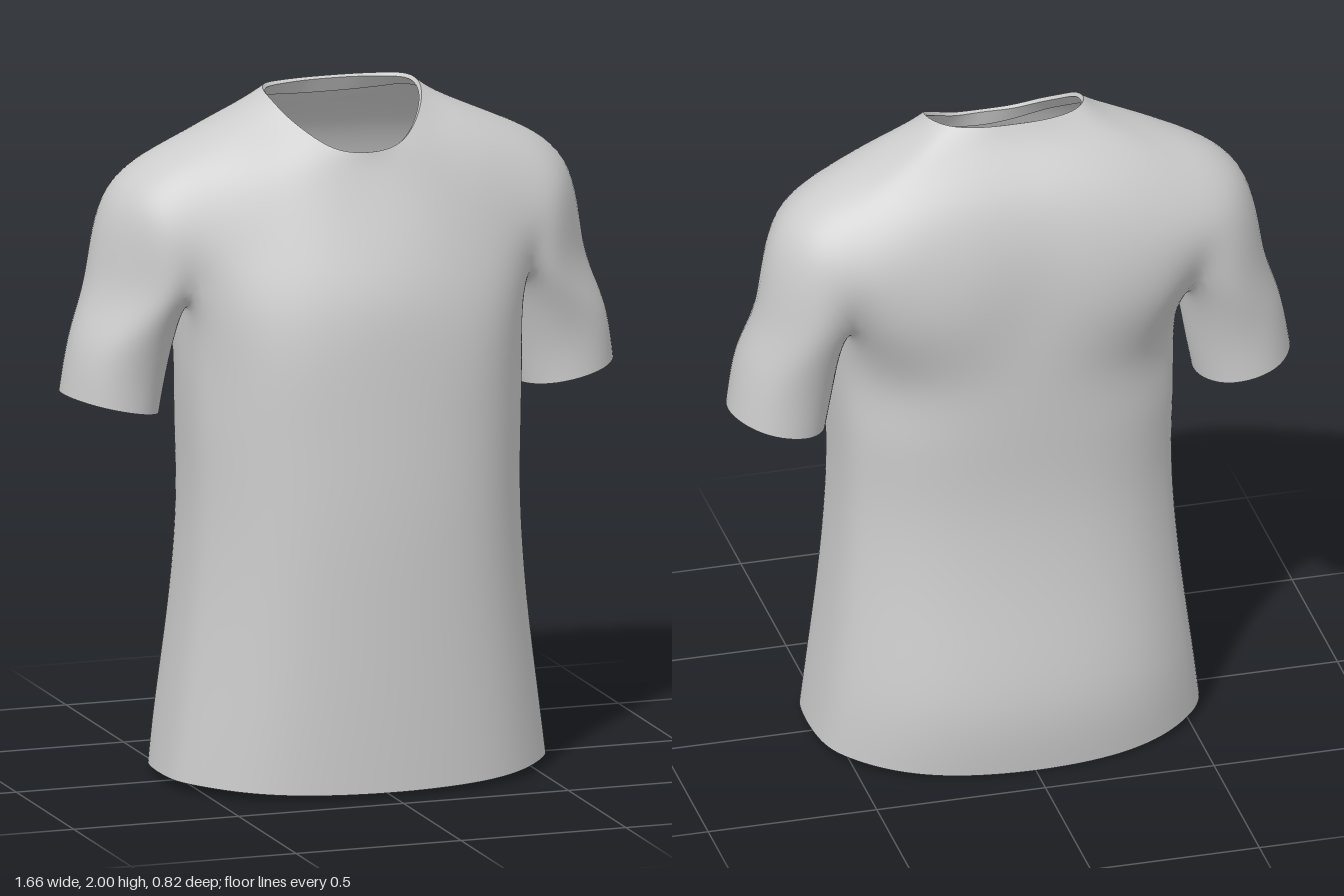
import * as THREE from 'three';
import { toCreasedNormals } from 'three/addons/utils/BufferGeometryUtils.js';

const V = (x, y, z) => new THREE.Vector3(x, y, z);
const rad = THREE.MathUtils.degToRad;
const material = new THREE.MeshStandardMaterial({ color: 0xcccccc, side: THREE.DoubleSide });

// Junction ring at armpit height: front half, armpit seam, sleeve outside, back half
const front = [V(0, 1.42, 0.372), V(0.2, 1.42, 0.345), V(0.37, 1.43, 0.27), V(0.515, 1.47, 0.14)];
const seam = [V(0.5, 1.4, 0.03), V(0.5, 1.38, -0.14)];
const arm = [V(0.62, 1.47, 0.115), V(0.75, 1.48, -0.09), V(0.65, 1.47, -0.275)];
const back = [V(0.51, 1.47, -0.275), V(0.39, 1.45, -0.335), V(0.2, 1.45, -0.367), V(0, 1.45, -0.358)];

// Shoulder rows from the armpit up to the neckline, front centre to back centre
const shoulderRows = [
  [[0, 1.56, 0.325], [0.18, 1.57, 0.3], [0.34, 1.59, 0.235], [0.49, 1.63, 0.16], [0.62, 1.69, 0.08], [0.685, 1.725, -0.085],
    [0.63, 1.7, -0.235], [0.51, 1.66, -0.31], [0.37, 1.65, -0.345], [0.18, 1.65, -0.358], [0, 1.65, -0.352]],
  [[0, 1.7, 0.26], [0.15, 1.71, 0.245], [0.29, 1.735, 0.195], [0.4, 1.79, 0.125], [0.47, 1.845, 0.03], [0.49, 1.862, -0.08],
    [0.47, 1.85, -0.17], [0.42, 1.83, -0.235], [0.3, 1.82, -0.282], [0.15, 1.82, -0.298], [0, 1.82, -0.298]],
  [[0, 1.8, 0.215], [0.11, 1.81, 0.205], [0.2, 1.84, 0.165], [0.265, 1.89, 0.09], [0.3, 1.935, 0.01], [0.31, 1.945, -0.06],
    [0.305, 1.942, -0.12], [0.28, 1.935, -0.17], [0.21, 1.93, -0.197], [0.11, 1.93, -0.208], [0, 1.93, -0.21]],
  [[0, 1.85, 0.2], [0.085, 1.86, 0.185], [0.15, 1.895, 0.14], [0.2, 1.94, 0.07], [0.225, 1.975, 0.01], [0.232, 1.993, -0.045],
    [0.222, 2, -0.09], [0.195, 2, -0.125], [0.15, 1.998, -0.148], [0.08, 1.997, -0.163], [0, 1.997, -0.166]],
].map((row) => row.map((p) => V(...p)));

// Half of a torso section: rounded ellipse, deeper in front or behind
function torsoRow([y, w, zf, zb]) {
  return [0, 22, 44, 66, 82, 104, 122, 140, 160, 180].map((deg) => {
    const s = Math.sin(rad(deg)), c = Math.cos(rad(deg));
    const x = deg === 180 ? 0 : w * Math.pow(s, 0.87);
    const hem = y < 0.1 ? 0.022 * s * s + 0.006 * c : 0;
    return V(x, y + hem, (c > 0 ? zf : zb) * Math.pow(Math.abs(c), 0.87));
  });
}
const torsoRows = [
  [0.008, 0.575, 0.41, -0.395], [0.22, 0.55, 0.412, -0.41], [0.5, 0.516, 0.412, -0.368],
  [0.8, 0.496, 0.41, -0.336], [1.05, 0.5, 0.4, -0.342], [1.25, 0.503, 0.39, -0.352],
].map(torsoRow);

// Full sleeve section, tilted so the outside sits higher
function sleeveRow([x, y, z, rx, rz, tilt]) {
  return [115, 60, 0, -60, -115, -160, 160].map((deg) => {
    const c = Math.cos(rad(deg));
    return V(x + rx * c, y + tilt * c, z + rz * Math.sin(rad(deg)));
  });
}
const sleeveRows = [
  [0.69, 1.11, -0.087, 0.142, 0.167, 0.032], [0.66, 1.27, -0.085, 0.138, 0.178, 0.045],
].map(sleeveRow);

// Control cage: stitched grids, mirrored and welded
function buildCage() {
  const verts = [], quads = [], ids = new Map();
  const id = (p, side) => {
    const q = V(p.x * side, p.y, p.z);
    const key = [q.x, q.y, q.z].map((n) => Math.round(n * 1e4)).join();
    if (!ids.has(key)) ids.set(key, verts.push(q) - 1);
    return ids.get(key);
  };
  const grid = (rows, closed) => {
    const n = rows[0].length;
    for (const side of [1, -1])
      for (let r = 0; r + 1 < rows.length; r++)
        for (let c = 0; c < (closed ? n : n - 1); c++) {
          const d = (c + 1) % n;
          const q = [rows[r][c], rows[r][d], rows[r + 1][d], rows[r + 1][c]].map((p) => id(p, side));
          quads.push(side > 0 ? q : q.reverse());
        }
  };
  grid([...torsoRows, [...front, ...seam, ...back]], false);
  grid([[...front, ...arm, ...back], ...shoulderRows], false);
  grid([...sleeveRows, [front[3], ...arm, back[0], seam[1], seam[0]]], true);
  return { verts, quads };
}

// One step of quad subdivision smoothing; old vertices keep their indices
function subdivide({ verts, quads }) {
  const n = verts.length, out = verts.map(() => V(0, 0, 0)), edges = new Map(), result = [];
  const around = verts.map(() => ({ faces: [], mids: [], rim: [] }));
  const faceIds = quads.map((q) => {
    const p = V(0, 0, 0);
    q.forEach((i) => p.addScaledVector(verts[i], 0.25));
    q.forEach((i) => around[i].faces.push(p));
    return out.push(p) - 1;
  });
  const edgeKey = (a, b) => Math.min(a, b) * n + Math.max(a, b);
  quads.forEach((q, f) => q.forEach((a, k) => {
    const b = q[(k + 1) % 4], key = edgeKey(a, b);
    if (!edges.has(key)) edges.set(key, { a, b, faces: [] });
    edges.get(key).faces.push(out[faceIds[f]]);
  }));
  for (const e of edges.values()) {
    const mid = verts[e.a].clone().add(verts[e.b]).multiplyScalar(0.5);
    for (const i of [e.a, e.b]) {
      around[i].mids.push(mid);
      if (e.faces.length === 1) around[i].rim.push(mid);
    }
    const p = mid.clone();
    if (e.faces.length === 2) p.multiplyScalar(0.5).addScaledVector(e.faces[0], 0.25).addScaledVector(e.faces[1], 0.25);
    e.id = out.push(p) - 1;
  }
  verts.forEach((v, i) => {
    const { faces, mids, rim } = around[i], m = mids.length;
    if (rim.length) {
      out[i].addScaledVector(v, 0.5).addScaledVector(rim[0], 0.25).addScaledVector(rim[1], 0.25);
    } else {
      out[i].addScaledVector(v, (m - 3) / m);
      faces.forEach((p) => out[i].addScaledVector(p, 1 / (m * m)));
      mids.forEach((p) => out[i].addScaledVector(p, 2 / (m * m)));
    }
  });
  quads.forEach((q, f) => q.forEach((a, k) => {
    const next = edges.get(edgeKey(a, q[(k + 1) % 4])).id, prev = edges.get(edgeKey(q[(k + 3) % 4], a)).id;
    result.push([a, next, faceIds[f], prev]);
  }));
  return { verts: out, quads: result };
}

function toGeometry({ verts, quads }) {
  const g = new THREE.BufferGeometry().setFromPoints(verts);
  g.setIndex(quads.flatMap(([a, b, c, d]) => [a, b, c, a, c, d]));
  g.computeVertexNormals();
  return g;
}

// Folded edge for every opening: a thin rim and a strip turned inside
function foldedEdges(surface, geometry) {
  const next = new Map(), prev = new Map(), directed = new Set(), meshes = [];
  const each = (fn) => surface.quads.forEach((q) => q.forEach((a, k) => fn(a, q[(k + 1) % 4])));
  each((a, b) => directed.add(a + '_' + b));
  each((a, b) => {
    if (!directed.has(b + '_' + a)) { next.set(a, b); prev.set(b, a); }
  });
  const seen = new Set(), normals = geometry.attributes.normal;
  for (const start of next.keys()) {
    if (seen.has(start)) continue;
    const loop = [];
    for (let i = start; !seen.has(i); i = next.get(i)) { seen.add(i); loop.push(i); }
    const p0 = surface.verts[start];
    const name = p0.y > 1.5 ? 'neckband' : p0.y < 0.5 ? 'bottomHem' : p0.x > 0 ? 'leftCuff' : 'rightCuff';
    const depth = name === 'neckband' ? 0.05 : 0.02, verts = [], quads = [];
    loop.forEach((i, k) => {
      const v = surface.verts[i], normal = V(0, 0, 0).fromBufferAttribute(normals, i);
      const along = surface.verts[next.get(i)].clone().sub(surface.verts[prev.get(i)]);
      const inner = v.clone().addScaledVector(normal, -0.013);
      const inward = normal.clone().cross(along).normalize();
      verts.push(v.clone(), inner, inner.clone().addScaledVector(inward, depth));
      const a = k * 3, b = ((k + 1) % loop.length) * 3;
      quads.push([b, a, a + 1, b + 1], [b + 1, a + 1, a + 2, b + 2]);
    });
    const mesh = new THREE.Mesh(toCreasedNormals(toGeometry({ verts, quads }), 0.8), material);
    mesh.name = name;
    meshes.push(mesh);
  }
  return meshes;
}

export function createModel() {
  const group = new THREE.Group();
  group.name = 'shirt';
  // Adjust the cage until the smoothed cloth passes through its points
  const cage = buildCage(), target = cage.verts.map((v) => v.clone());
  for (let k = 0; k < 8; k++) {
    const smooth = subdivide(subdivide(cage)).verts;
    cage.verts.forEach((v, i) => v.add(target[i]).sub(smooth[i]));
  }
  const surface = subdivide(subdivide(subdivide(cage)));
  const geometry = toGeometry(surface);
  const cloth = new THREE.Mesh(geometry, material);
  cloth.name = 'bodyAndSleeves';
  group.add(cloth, ...foldedEdges(surface, geometry));
  return group;
}
